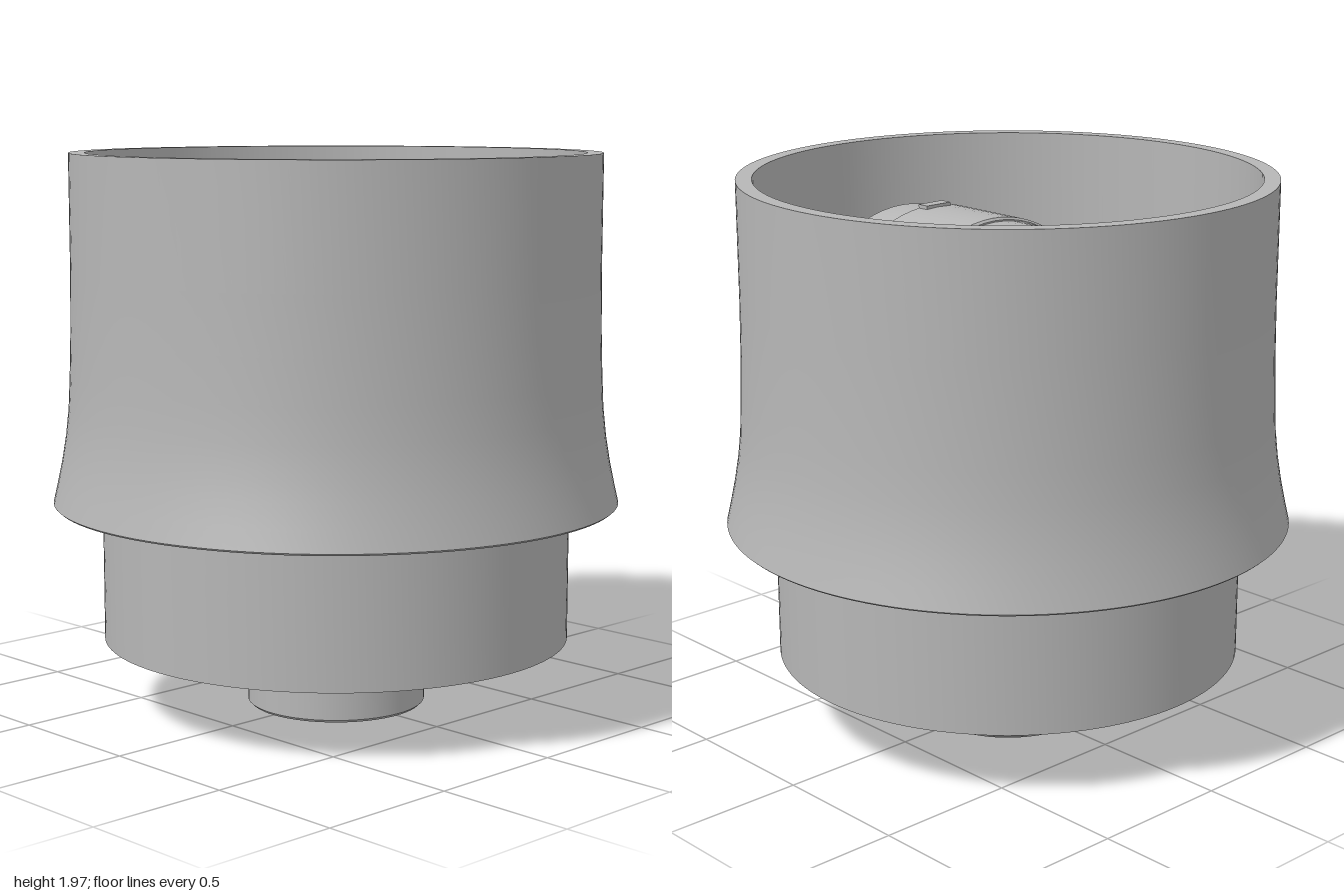
import * as THREE from 'three';
import { toCreasedNormals } from 'three/addons/utils/BufferGeometryUtils.js';

const grey = new THREE.MeshStandardMaterial({ color: 0xb6b6b6 });
grey.name = 'light grey';

const AXIS_Y = 1.28; // height of the horizontal motor axis

function add(parent, name, geometry, x = 0, y = 0, z = 0) {
  const mesh = new THREE.Mesh(geometry, grey);
  mesh.name = name;
  mesh.position.set(x, y, z);
  parent.add(mesh);
  return mesh;
}

function lathe(points, segments = 96) {
  const g = new THREE.LatheGeometry(points.map(([r, y]) => new THREE.Vector2(r, y)), segments);
  return toCreasedNormals(g, 0.5);
}

// Round section along z between two depths, with small chamfers
function drum(z0, z1, r, c = 0.008) {
  return lathe([[0, z0], [r - c, z0], [r, z0 + c], [r, z1 - c], [r - c, z1], [0, z1]], 72).rotateX(Math.PI / 2);
}

function circleHole(x, y, r) {
  return new THREE.Path().absarc(x, y, r, 0, Math.PI * 2, true);
}

// Extrude a shape drawn in (x, -z) upwards in y
function slab(shape, depth, bevel = 0) {
  const g = new THREE.ExtrudeGeometry(shape, {
    depth: depth - 2 * bevel, curveSegments: 32, bevelEnabled: bevel > 0,
    bevelSize: bevel, bevelThickness: bevel, bevelOffset: -bevel, bevelSegments: 1,
  });
  g.translate(0, 0, bevel).rotateX(-Math.PI / 2);
  return toCreasedNormals(g, 0.5);
}

function createShell(group) {
  // Flared outer cover, stepped lower collar and open bore in one profile
  add(group, 'flaredShell', lathe([
    [0.78, 0.25], [0.828, 0.25], [0.828, 0.738], [0.992, 0.738], [1, 0.745],
    [0.985, 0.81], [0.968, 0.89], [0.953, 0.98], [0.942, 1.08], [0.936, 1.2],
    [0.931, 1.35], [0.928, 1.55], [0.928, 1.965], [0.872, 1.965],
    [0.872, 0.8], [0.78, 0.8], [0.78, 0.25],
  ], 128));
}

function createMountingPlates(group) {
  for (const side of [1, -1]) {
    const pts = [];
    // outer edge follows the bore
    for (let i = 0; i <= 24; i++) {
      const a = THREE.MathUtils.lerp(-0.8, 0.61, i / 24);
      pts.push(new THREE.Vector2(side * 0.79 * Math.cos(a), 0.79 * Math.sin(a)));
    }
    // rounded relief at the rear end of the inner edge
    for (const [x, y] of [[0.635, 0.44], [0.635, 0.415], [0.625, 0.39], [0.6, 0.37], [0.565, 0.35], [0.55, 0.32]]) {
      pts.push(new THREE.Vector2(side * x, y));
    }
    const shape = new THREE.Shape(pts);
    for (const y of [0.285, -0.28]) shape.holes.push(circleHole(side * 0.65, y, 0.043));
    add(group, side > 0 ? 'leftMountingPlate' : 'rightMountingPlate', slab(shape, 0.07), 0, 0.25, 0);
  }
}

function createHub(group) {
  // Output hub with central bore and a ring of bolt holes
  const shape = new THREE.Shape().absarc(0, 0, 0.318, 0, Math.PI * 2, false);
  shape.holes.push(circleHole(0, 0, 0.16));
  for (let i = 0; i < 8; i++) {
    const a = (i + 0.5) * Math.PI / 4;
    shape.holes.push(circleHole(0.24 * Math.cos(a), 0.24 * Math.sin(a), 0.026));
  }
  add(group, 'outputHub', slab(shape, 0.46, 0.01));
}

function createMotor() {
  const motor = new THREE.Group();
  motor.name = 'motor';
  motor.position.y = AXIS_Y;

  // Stepped round body, rear to front
  const sections = [
    ['rearBoss', -0.78, -0.68, 0.235], ['rearBossCollar', -0.7, -0.65, 0.26],
    ['rearCap', -0.655, -0.41, 0.465], ['rearRing', -0.41, -0.29, 0.52],
    ['bodyBarrel', -0.3, 0.08, 0.507], ['frontRing', 0.07, 0.41, 0.52],
    ['frontFlange', 0.4, 0.565, 0.5],
  ];
  for (const [name, z0, z1, r] of sections) add(motor, name, drum(z0, z1, r), 0, 0, 0);

  for (const side of [1, -1]) {
    // Side lugs on both ends
    add(motor, 'rearLug', new THREE.BoxGeometry(0.11, 0.44, 0.16), side * 0.485, 0, -0.495);
    add(motor, 'frontLug', new THREE.BoxGeometry(0.16, 0.5, 0.15), side * 0.46, 0, 0.49);
    // Screw blocks near the front and rear joints
    add(motor, 'frontScrewBlock', new THREE.BoxGeometry(0.08, 0.08, 0.045), side * 0.45, 0.24, 0.382);
    add(motor, 'rearScrewBlock', new THREE.BoxGeometry(0.06, 0.06, 0.04), side * 0.37, 0.27, -0.605);
  }
  add(motor, 'topScrewBlock', new THREE.BoxGeometry(0.11, 0.06, 0.045), 0, 0.5, 0.382);

  // Cable socket on top of the rear cap
  add(motor, 'socketBase', new THREE.BoxGeometry(0.33, 0.04, 0.12), 0, 0.455, -0.55);
  for (const z of [-0.56, -0.505]) add(motor, 'socketWall', new THREE.BoxGeometry(0.24, 0.03, 0.012), 0, 0.485, z);
  for (const x of [-0.115, 0.115]) add(motor, 'socketEnd', new THREE.BoxGeometry(0.012, 0.03, 0.06), x, 0.485, -0.532);
  for (let i = 0; i < 7; i++) {
    add(motor, 'socketPin', new THREE.BoxGeometry(0.01, 0.02, 0.01), (i - 3) * 0.027, 0.482, -0.535);
  }
  return motor;
}

function createPedestal(group) {
  // Block joining the motor to the hub, with end tabs
  add(group, 'motorBase', new THREE.BoxGeometry(0.68, 0.6, 0.86), 0, 0.75, 0);
  for (const x of [-0.24, 0.24]) {
    for (const z of [-0.46, 0.46]) {
      add(group, 'baseTab', new THREE.BoxGeometry(0.14, 0.5, 0.1), x, 0.72, z);
    }
  }
}

export function createModel() {
  const group = new THREE.Group();
  group.name = 'motorHousing';
  createShell(group);
  createMountingPlates(group);
  createHub(group);
  createPedestal(group);
  group.add(createMotor());
  return group;
}
